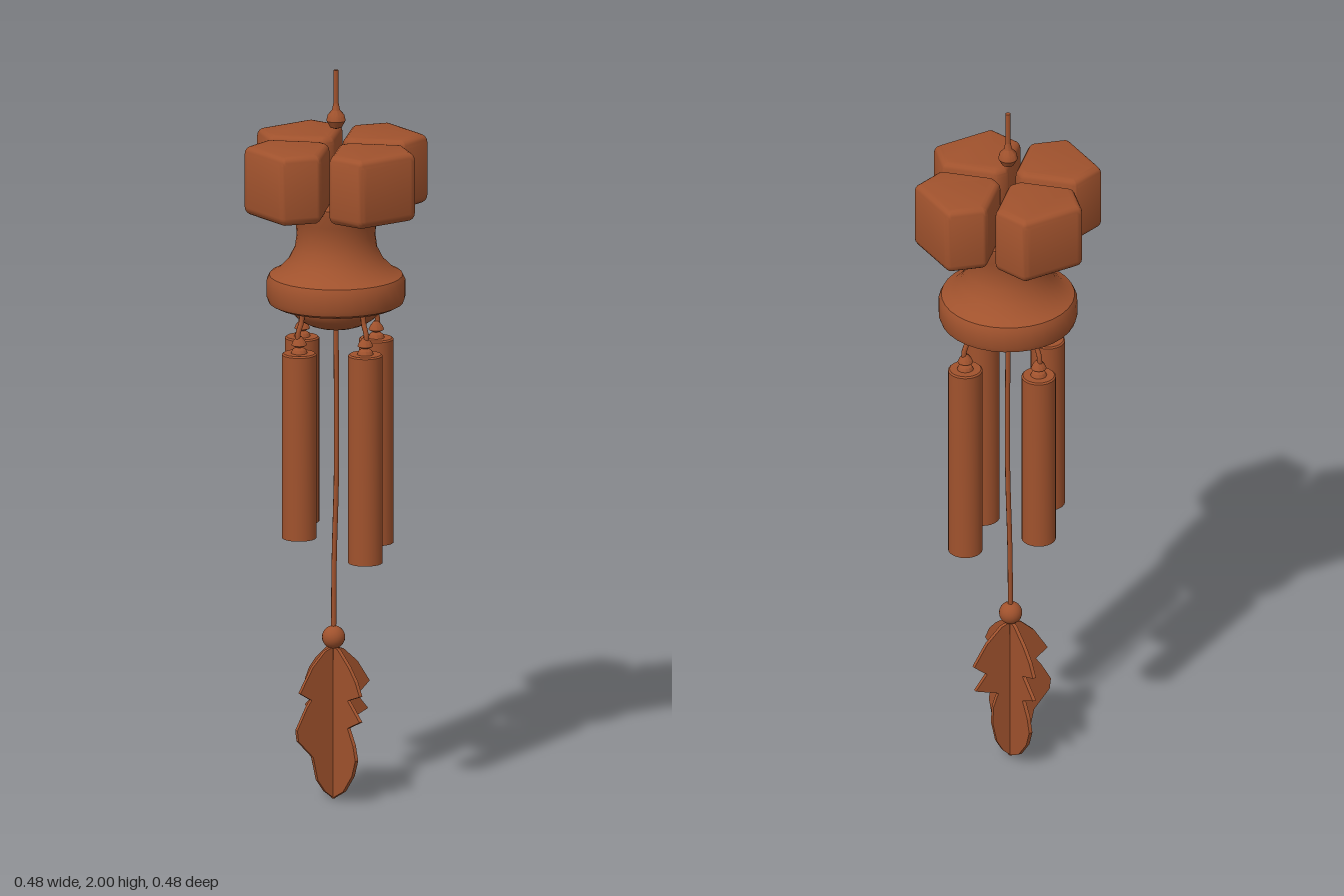
import * as THREE from 'three';
import { toCreasedNormals } from 'three/addons/utils/BufferGeometryUtils.js';

const V2 = (p) => new THREE.Vector2(p[0], p[1]);

// Closed shape with each corner softened by a fraction of its two edges
function roundedShape(points, t) {
  const pts = points.map(V2), n = pts.length, shape = new THREE.Shape();
  pts.forEach((p, i) => {
    const a = p.clone().lerp(pts[(i + n - 1) % n], t);
    const b = p.clone().lerp(pts[(i + 1) % n], t);
    if (i === 0) shape.moveTo(a.x, a.y); else shape.lineTo(a.x, a.y);
    shape.quadraticCurveTo(p.x, p.y, b.x, b.y);
  });
  shape.closePath();
  return shape;
}

export function createModel() {
  const group = new THREE.Group();
  const clay = new THREE.MeshStandardMaterial({ color: 0xa0522d, side: THREE.DoubleSide });
  clay.name = 'terracotta';

  const add = (name, geometry, x = 0, y = 0, z = 0, parent = group) => {
    const mesh = new THREE.Mesh(geometry, clay);
    mesh.name = name;
    mesh.position.set(x, y, z);
    parent.add(mesh);
    return mesh;
  };
  const lathe = (profile, segments = 32) =>
    toCreasedNormals(new THREE.LatheGeometry(profile.map(V2), segments), 0.6);
  const cord = (points, radius) => new THREE.TubeGeometry(
    new THREE.CatmullRomCurve3(points.map((p) => new THREE.Vector3(...p))), 12, radius, 8);

  // Hanging cord and bead at the top
  add('hangingCord', new THREE.CylinderGeometry(0.007, 0.007, 0.13, 10), 0, 1.935, 0);
  add('topBead', lathe([[0, 1.838], [0.016, 1.844], [0.026, 1.862], [0.022, 1.878],
    [0.011, 1.89], [0.007, 1.91]], 20));

  // Four rounded crown blocks
  const plan = roundedShape([[-0.018, 0.033], [-0.123, 0.138], [-0.09, 0.24],
    [0.09, 0.24], [0.123, 0.138], [0.018, 0.033]], 0.1);
  const blockGeometry = new THREE.ExtrudeGeometry(plan, {
    depth: 0.144, bevelEnabled: true, bevelThickness: 0.022, bevelSize: 0.02,
    bevelOffset: -0.02, bevelSegments: 4, curveSegments: 4,
  });
  blockGeometry.rotateX(Math.PI / 2);
  const block = toCreasedNormals(blockGeometry, 0.6);
  for (let i = 0; i < 4; i++) {
    add('crownBlock', block, 0, 1.786, 0).rotation.y = i * Math.PI / 2;
  }

  // Flared neck with the wide rim
  add('neckAndRim', lathe([[0, 1.36], [0.165, 1.358], [0.18, 1.366], [0.185, 1.38],
    [0.185, 1.425], [0.178, 1.44], [0.155, 1.452], [0.128, 1.48], [0.11, 1.515],
    [0.105, 1.55], [0.108, 1.59], [0.12, 1.625], [0.12, 1.64], [0, 1.64]]));

  // Dome beneath the rim
  const dome = new THREE.SphereGeometry(0.125, 28, 10, 0, Math.PI * 2, Math.PI / 2, Math.PI / 2);
  dome.scale(1, 0.56, 1);
  add('dome', dome, 0, 1.362, 0);

  // Hollow chimes: x, z, bottom
  const top = 1.247;
  for (const [x, z, bottom] of [[0, 0.134, 0.675], [0.132, 0, 0.685],
    [-0.02, -0.127, 0.74], [-0.135, 0.02, 0.74]]) {
    const chime = new THREE.Group();
    chime.name = 'chime';
    chime.position.set(x, 0, z);
    group.add(chime);
    add('chimeTube', lathe([[0, top - 0.03], [0.036, top - 0.03], [0.036, bottom],
      [0.046, bottom], [0.046, top - 0.004], [0.042, top], [0, top]], 24), 0, 0, 0, chime);
    add('chimeKnot', lathe([[0.022, top], [0.018, top + 0.01], [0.009, top + 0.016],
      [0.021, top + 0.022], [0.017, top + 0.032], [0.006, top + 0.046]], 12), 0, 0, 0, chime);
    add('chimeCord', cord([[0, top, 0], [x * 0.03, 1.3, z * 0.03],
      [-x * 0.06, 1.33, -z * 0.06], [-x * 0.08, 1.375, -z * 0.08]], 0.007), 0, 0, 0, chime);
  }

  // Long central cord and its lower bead
  add('centralCord', cord([[0, 1.32, 0], [0, 0.9, 0.002], [-0.004, 0.65, -0.003],
    [-0.008, 0.42, 0]], 0.007));
  add('lowerBead', new THREE.SphereGeometry(0.031, 20, 14), -0.008, 0.445, 0);

  // Wind catcher: crossed leaf blades, each half given as distance and height
  const broad = [[0.025, 0.415], [0.075, 0.375], [0.105, 0.342], [0.125, 0.305],
    [0.07, 0.284], [0.125, 0.235], [0.07, 0.208], [0.095, 0.165], [0.106, 0.125],
    [0.09, 0.08], [0.05, 0.03]];
  const rightHalf = [[0.03, 0.41], [0.075, 0.37], [0.115, 0.31], [0.075, 0.277],
    [0.11, 0.235], [0.04, 0.208], [0.055, 0.17], [0.058, 0.12], [0.045, 0.06], [0.025, 0.025]];
  const leftHalf = [[0.03, 0.41], [0.07, 0.372], [0.112, 0.305], [0.075, 0.282],
    [0.09, 0.262], [0.122, 0.205], [0.118, 0.175], [0.07, 0.125], [0.055, 0.06], [0.03, 0.025]];
  const catcher = new THREE.Group();
  catcher.name = 'windCatcher';
  catcher.position.x = -0.008;
  group.add(catcher);
  [rightHalf, broad, leftHalf, broad].forEach((half, i) => {
    const outline = [[0, 0.42], ...half, [0, 0.002]].map(V2);
    const blade = new THREE.ExtrudeGeometry(new THREE.Shape(outline),
      { depth: 0.01, bevelEnabled: false });
    blade.translate(0, 0, -0.005);
    add('leafBlade', blade, 0, 0, 0, catcher).rotation.y = i * Math.PI / 2;
  });
  add('leafStem', new THREE.CylinderGeometry(0.008, 0.004, 0.42, 8), 0, 0.212, 0, catcher);

  return group;
}
